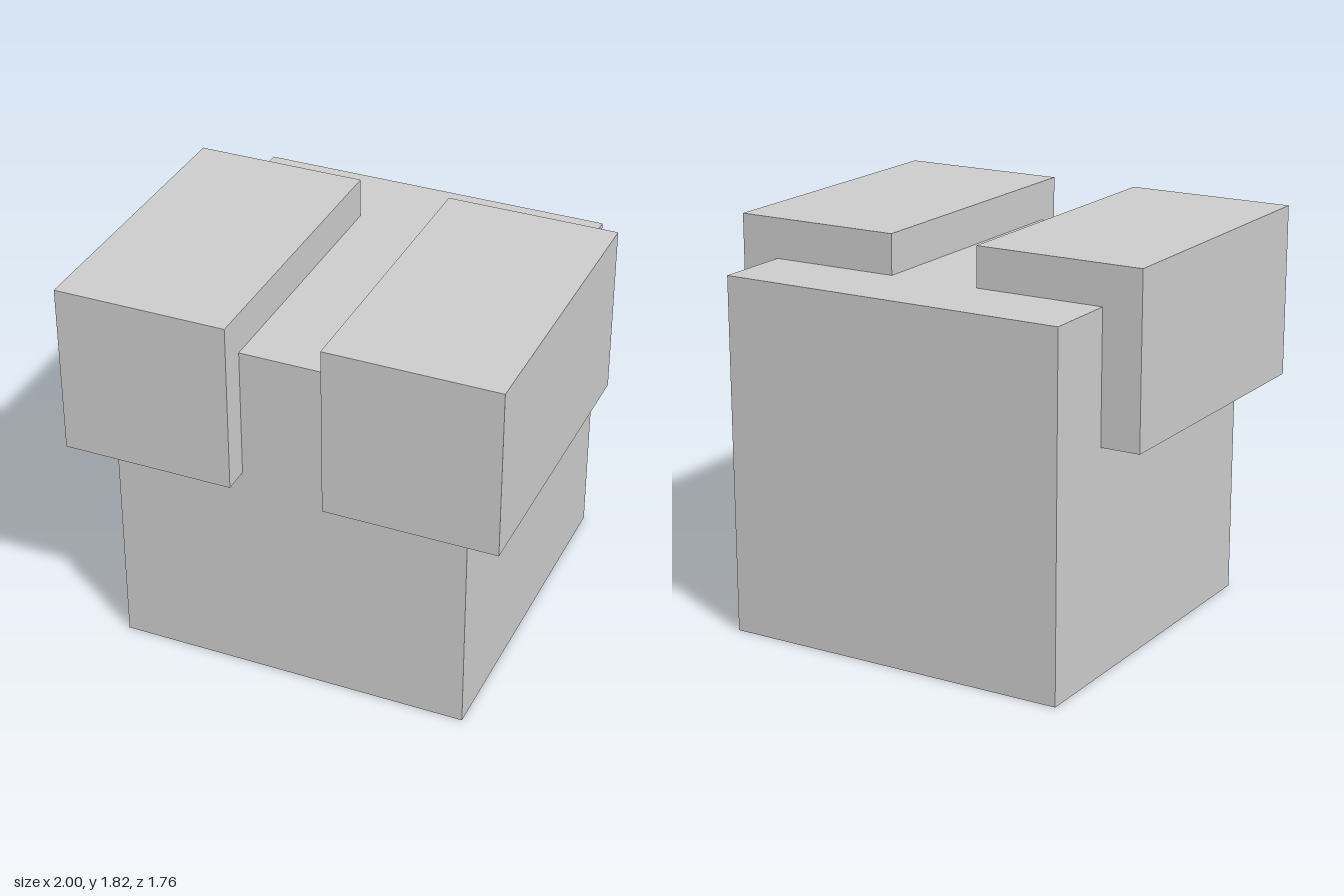
import * as THREE from 'three';

// Box given by its minimum and maximum corners
function makeBox(name, min, max, material) {
  const size = max.map((v, i) => v - min[i]);
  const mesh = new THREE.Mesh(new THREE.BoxGeometry(...size), material);
  mesh.position.set(...max.map((v, i) => (v + min[i]) / 2));
  mesh.name = name;
  return mesh;
}

export function createModel() {
  const model = new THREE.Group();
  model.name = 'blockModel';
  const grey = new THREE.MeshStandardMaterial({ color: 0xcccccc, flatShading: true });

  // Main cube, standing on the ground
  model.add(makeBox('body', [-0.817, 0, -0.88], [0.817, 1.636, 0.757], grey));

  // Pair of long blocks overhanging the top, sides and front
  const inner = 0.213, outer = 1;
  model.add(makeBox('leftBlock', [inner, 1.033, -0.515], [outer, 1.819, 0.88], grey));
  model.add(makeBox('rightBlock', [-outer, 1.033, -0.515], [-inner, 1.819, 0.88], grey));

  return model;
}
